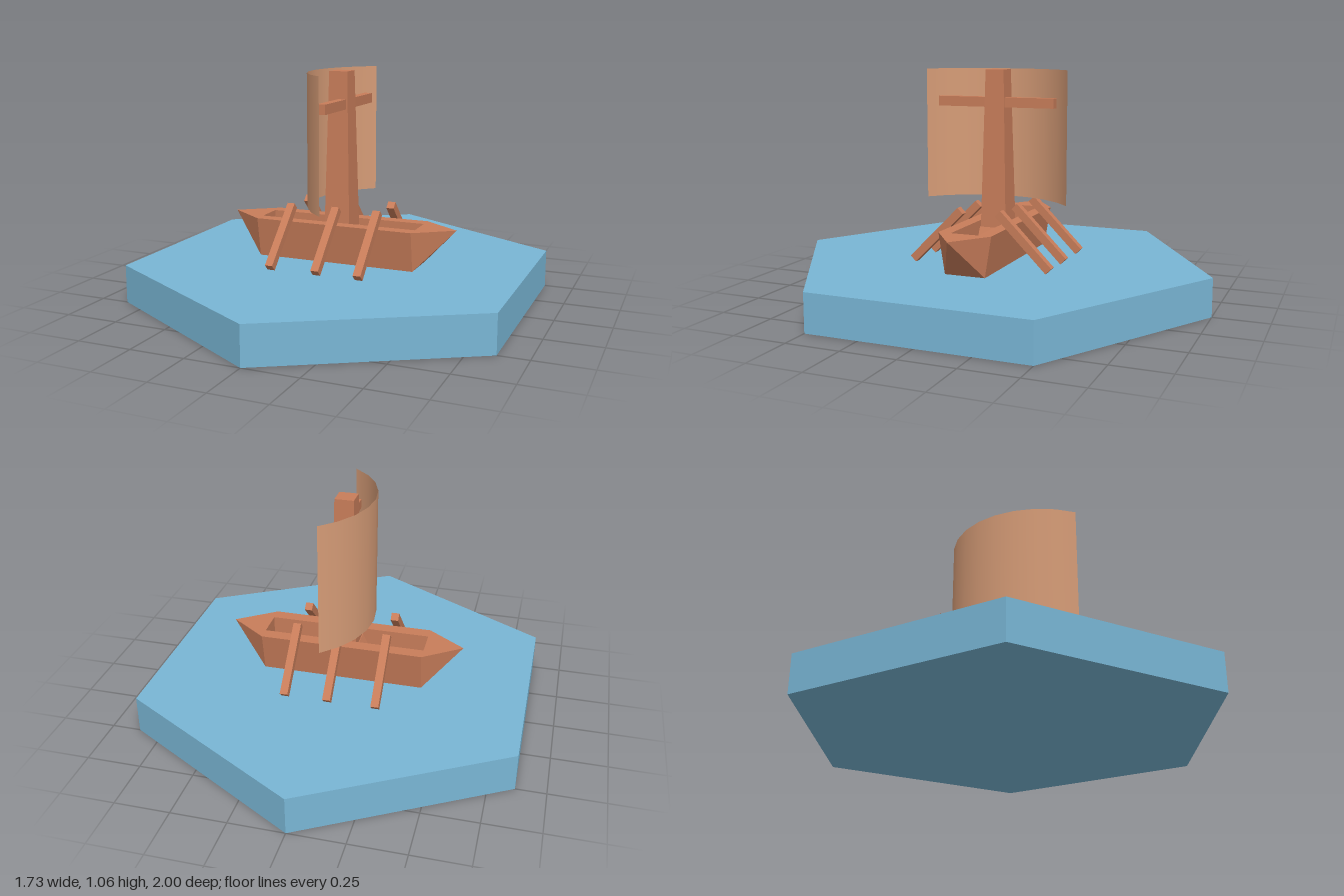
import * as THREE from 'three';

const water = new THREE.MeshStandardMaterial({ name: 'water blue', color: 0x79b6d5 });
const wood = new THREE.MeshStandardMaterial({ name: 'wood brown', color: 0xc87d5a });
const cloth = new THREE.MeshStandardMaterial({ name: 'sail tan', color: 0xd69c77, side: THREE.DoubleSide });

const BASE = 0.175, DECK = 0.36, FLOOR = 0.28;

function add(parent, name, geometry, material, x = 0, y = 0, z = 0) {
  const mesh = new THREE.Mesh(geometry, material);
  mesh.name = name;
  mesh.position.set(x, y, z);
  parent.add(mesh);
  return mesh;
}

// Flat-sided wall between two loops of [x, z] points; tips lists corners the diagonals start from
function wall(lower, y0, upper, y1, tips = []) {
  const pos = [];
  const n = lower.length;
  for (let i = 0; i < n; i++) {
    const j = (i + 1) % n;
    const la = [lower[i][0], y0, lower[i][1]], lb = [lower[j][0], y0, lower[j][1]];
    const ua = [upper[i][0], y1, upper[i][1]], ub = [upper[j][0], y1, upper[j][1]];
    if (tips.includes(j)) pos.push(...la, ...lb, ...ub, ...la, ...ub, ...ua);
    else pos.push(...la, ...lb, ...ua, ...lb, ...ub, ...ua);
  }
  const g = new THREE.BufferGeometry();
  g.setAttribute('position', new THREE.Float32BufferAttribute(pos, 3));
  g.computeVertexNormals();
  return g;
}

// Square tapered post centred on the axis
function taperedBox(w0, d0, w1, d1, h) {
  const g = new THREE.BoxGeometry(1, h, 1).toNonIndexed();
  const p = g.attributes.position;
  for (let i = 0; i < p.count; i++) {
    const top = p.getY(i) > 0;
    p.setX(i, p.getX(i) * (top ? w1 : w0));
    p.setZ(i, p.getZ(i) * (top ? d1 : d0));
  }
  g.computeVertexNormals();
  return g;
}

export function createModel() {
  const model = new THREE.Group();
  model.name = 'boatTile';

  // Hexagonal water tile
  const tile = new THREE.CylinderGeometry(1, 1, BASE, 6).toNonIndexed();
  tile.computeVertexNormals();
  add(model, 'waterTile', tile, water, 0, BASE / 2, 0);

  // Hull with raked bow and stern
  const hull = new THREE.Group();
  hull.name = 'hull';
  model.add(hull);
  const rim = [[0.555, 0], [0.38, -0.125], [-0.38, -0.125], [-0.555, 0], [-0.38, 0.125], [0.38, 0.125]];
  const keel = [[0.38, 0], [0.38, -0.095], [-0.38, -0.095], [-0.38, 0], [-0.38, 0.095], [0.38, 0.095]];
  add(hull, 'hullSides', wall(keel, BASE, rim, DECK, [0, 3]), wood);

  // Deck rim around the open well
  const well = [[-0.38, -0.065], [0.38, -0.065], [0.38, 0.065], [-0.38, 0.065]];
  const toVec = ([x, z]) => new THREE.Vector2(x, -z);
  const deckShape = new THREE.Shape(rim.map(toVec));
  deckShape.holes.push(new THREE.Path(well.map(toVec)));
  const deck = new THREE.ShapeGeometry(deckShape).rotateX(-Math.PI / 2);
  add(hull, 'deckRim', deck, wood, 0, DECK, 0);
  add(hull, 'wellWalls', wall(well, FLOOR, well, DECK), wood);
  add(hull, 'wellFloor', new THREE.PlaneGeometry(0.76, 0.13).rotateX(-Math.PI / 2), wood, 0, FLOOR, 0);

  // Mast, its step and the yard
  add(model, 'mastStep', taperedBox(0.18, 0.13, 0.13, 0.13, 0.05), wood, 0, FLOOR + 0.025, 0);
  const mastHeight = 1.055 - FLOOR;
  add(model, 'mast', taperedBox(0.126, 0.126, 0.088, 0.088, mastHeight), wood, 0, FLOOR + mastHeight / 2, 0);
  add(model, 'yard', new THREE.BoxGeometry(0.04, 0.045, 0.565), wood, 0.02, 0.907, 0);

  // Billowing sail: an upright arc bulging towards -x
  const radius = 0.435, half = 0.916;
  const sail = new THREE.CylinderGeometry(radius, radius, 0.605, 8, 1, true, -Math.PI / 2 - half, 2 * half);
  add(model, 'sail', sail, cloth, radius - 0.132, 0.7525, 0);

  // Three slanted oars on each side
  for (const side of [1, -1]) {
    for (const x of [-0.213, 0.01, 0.21]) {
      const oar = add(model, 'oar', new THREE.BoxGeometry(0.036, 0.037, 0.338), wood, x, 0.31, side * 0.21);
      oar.rotation.x = side * Math.PI / 4;
    }
  }

  return model;
}
